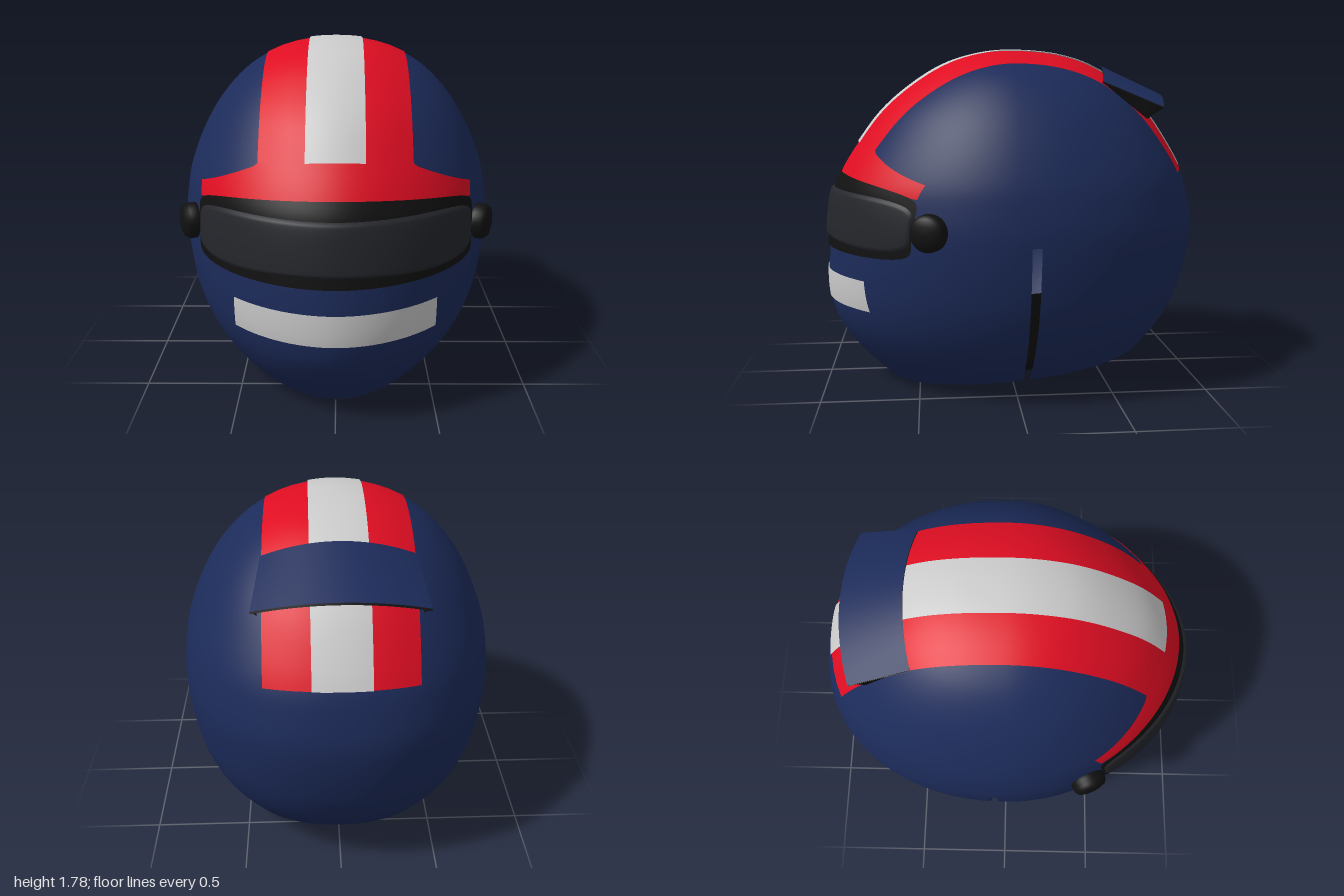
import * as THREE from 'three';

const mat = (color) => new THREE.MeshStandardMaterial({ color, roughness: 0.6, side: THREE.DoubleSide });

// Shell profile: height, half width, reach to the front, reach to the back
const PROFILE = [
  [0, .46, .66, .62], [.1, .555, .77, .68], [.2, .64, .86, .75], [.36, .73, .96, .87],
  [.55, .79, .99, .95], [.85, .82, .97, 1], [1.05, .8, .94, .965], [1.15, .775, .895, .93],
  [1.3, .715, .8, .845], [1.45, .63, .685, .74], [1.6, .5, .51, .59], [1.7, .35, .34, .42],
  [1.75, .2, .18, .25], [1.77, 0, 0, 0],
];
const TOP = 1.77;
// Exponents of the horizontal section: narrower at the front, fuller at the back
const power = (z) => z > 0 ? 1.9 : 2.2;

// Smooth interpolation of the squared radii, which keeps the crown round
function radius(y, k) {
  const P = PROFILE, n = P.length - 1;
  y = Math.min(Math.max(y, 0), TOP);
  let i = 0;
  while (i < n - 1 && y > P[i + 1][0]) i++;
  const f = (j) => P[j][k] ** 2;
  const slope = (j) => {
    const a = Math.max(j - 1, 0), b = Math.min(j + 1, n);
    return (f(b) - f(a)) / (P[b][0] - P[a][0]);
  };
  const h = P[i + 1][0] - P[i][0], t = (y - P[i][0]) / h, t2 = t * t, t3 = t2 * t;
  const v = (2 * t3 - 3 * t2 + 1) * f(i) + (t3 - 2 * t2 + t) * h * slope(i)
    + (3 * t2 - 2 * t3) * f(i + 1) + (t3 - t2) * h * slope(i + 1);
  return Math.sqrt(Math.max(v, 0));
}

// Point of the section at height y and angle th, scaled by s, as [x, z]
function section(y, th, s) {
  const c = Math.cos(th), sn = Math.sin(th), e = 2 / power(sn);
  return [s * radius(y, 1) * Math.sign(c) * Math.abs(c) ** e,
    s * radius(y, sn > 0 ? 2 : 3) * Math.sign(sn) * Math.abs(sn) ** e];
}

// Distance from a point inside the shell to its surface, along (0, dy, dz)
function reach(x, y, dy, dz) {
  let a = 0, b = 2;
  for (let i = 0; i < 30; i++) {
    const m = (a + b) / 2, py = y + dy * m, pz = dz * m, p = power(pz);
    const w = radius(py, 1), d = radius(py, pz > 0 ? 2 : 3);
    const inside = py < TOP && w > 0 && d > 0 && Math.abs(x / w) ** p + Math.abs(pz / d) ** p < 1;
    if (inside) a = m; else b = m;
  }
  return a;
}

// Grid surface from a rule point(u, v); wrap closes it in u, skip leaves cells open
function grid(nu, nv, point, wrap = false, skip = () => false) {
  const pos = [], index = [], cols = wrap ? nu : nu + 1;
  for (let j = 0; j <= nv; j++)
    for (let i = 0; i < cols; i++) pos.push(...point(i / nu, j / nv));
  for (let j = 0; j < nv; j++)
    for (let i = 0; i < nu; i++) {
      const a = j * cols + i, b = j * cols + (i + 1) % cols;
      if (skip(i, (pos[a * 3 + 1] + pos[(a + cols) * 3 + 1]) / 2)) continue;
      index.push(a, a + cols, b, b, a + cols, b + cols);
    }
  const g = new THREE.BufferGeometry();
  g.setAttribute('position', new THREE.Float32BufferAttribute(pos, 3));
  g.setIndex(index);
  g.computeVertexNormals();
  return g;
}

// Whole shell with a tilted bottom rim and a narrow slot low on each side
function shellGeometry() {
  const n = 160;
  return grid(n, 56, (u, v) => {
    const a = u * Math.PI * 2, th = a - .028 * Math.cos(a);
    const yb = .1 - .1 * Math.sin(th), y = yb + (TOP - yb) * (1 - (1 - v) ** 2);
    const [x, z] = section(y, th, 1);
    return [x, y, z];
  }, true, (i, y) => (i === n - 1 || i === n / 2) && y < .84);
}

// Dark plate that closes the inside a little above the rim
function plateGeometry() {
  const scale = [0, .985, .97, 0], lift = [.075, .075, .125, .125];
  return grid(96, 3, (u, v) => {
    const th = u * Math.PI * 2, k = Math.round(v * 3);
    const y = .1 - .1 * Math.sin(th) * scale[k] + lift[k];
    const [x, z] = section(y, th, scale[k]);
    return [x, y, z];
  }, true).toNonIndexed();
}

// Patch laid on the face, bounded by lo(x) and hi(x)
function facePatch(half, lo, hi, offset, nv = 16) {
  return grid(72, nv, (u, v) => {
    const x = -half * Math.cos(u * Math.PI);
    const y = lo(x) + (hi(x) - lo(x)) * v;
    return [x, y, reach(x, y, 0, 1) + offset(x, v)];
  });
}

// Stripe running over the crown between two angles
function stripe(x0, x1, a0, a1, offset) {
  return grid(10, 72, (u, v) => {
    const x = x0 + (x1 - x0) * u, a = a0 + (a1 - a0) * v;
    const r = reach(x, .9, Math.sin(a), Math.cos(a)) + offset;
    return [x, .9 + r * Math.sin(a), r * Math.cos(a)];
  });
}

export function createModel() {
  const root = new THREE.Group();
  const navy = mat(0x1c2b5a), red = mat(0xdf0d22), grey = mat(0xcccccc);
  const black = mat(0x111111), dark = mat(0x050505), glass = mat(0x24262b);
  const add = (name, geometry, material) => {
    const m = new THREE.Mesh(geometry, material);
    m.name = name;
    root.add(m);
    return m;
  };

  add('shell', shellGeometry(), navy);
  const plate = plateGeometry();
  plate.computeVertexNormals();
  add('innerPlate', plate, dark);

  // Crown stripes and brow band
  add('redStripe', stripe(-.365, .365, .38, Math.PI - .27, .005), red);
  add('centreStripe', stripe(-.14, .14, .45, Math.PI - .27, .012), grey);
  const browLow = (x) => 1.13 - .08 * (x / .67) ** 2;
  const browHigh = (x) => Math.abs(x) < .365 ? 1.27 : 1.26 - .14 * (Math.abs(x) - .365) / .305;
  add('browBand', facePatch(.67, browLow, browHigh, () => .007), red);

  // Chin band
  add('chinBand', facePatch(.49, () => .46, () => .62, () => .008), grey);

  // Visor seal and visor with rounded ends
  const round = (x, half, p) => Math.max(0, 1 - Math.abs(x / half) ** p) ** (1 / p);
  add('visorSeal', facePatch(.68, (x) => .9 - .155 * round(x, .68, 9),
    (x) => .9 + (.24 - .07 * (x / .68) ** 2) * round(x, .68, 9), () => .012), black);
  add('visor', facePatch(.675,
    (x) => .9 - (.14 - .04 * Math.cos(x / .675 * Math.PI / 2)) * round(x, .675, 5),
    (x) => .9 + .155 * round(x, .675, 5),
    (x, v) => .012 + .018 * round(2 * v - 1, 1, 6) * round(x, .675, 12), 24), glass);

  // Rear spoiler: curved blade, dark underside and end plates
  const blade = (drop) => grid(24, 6, (u, v) => {
    const k = 2 * u - 1;
    return [k * (.37 + .04 * v), 1.7 - .15 * v - (.09 - .02 * v) * k * k - drop,
      -.495 - .325 * v + (.045 + .015 * v) * k * k];
  });
  add('spoiler', blade(0), navy);
  add('spoilerUnderside', blade(.012), black);
  for (const s of [-1, 1]) {
    const side = s > 0 ? 'left' : 'right';
    add(side + 'SpoilerPlate', grid(1, 8, (u, v) => [
      s * (.37 + .04 * v - .015 * u),
      1.605 - .13 * v - u * .09 * Math.min(v / .75, (1 - v) / .25),
      -.45 - .31 * v,
    ]), black);

    // Visor pivot knob
    const knob = new THREE.LatheGeometry(
      [[0, -.05], [.085, -.05], [.092, -.02], [.09, .015], [.075, .035], [.04, .045], [0, .046]]
        .map(([r, y]) => new THREE.Vector2(r, y)), 32);
    const m = add(side + 'Pivot', knob, black);
    m.position.set(s * .74, .9, .445);
    m.quaternion.setFromUnitVectors(new THREE.Vector3(0, 1, 0),
      new THREE.Vector3(s * .9, 0, .44).normalize());
  }

  return root;
}
